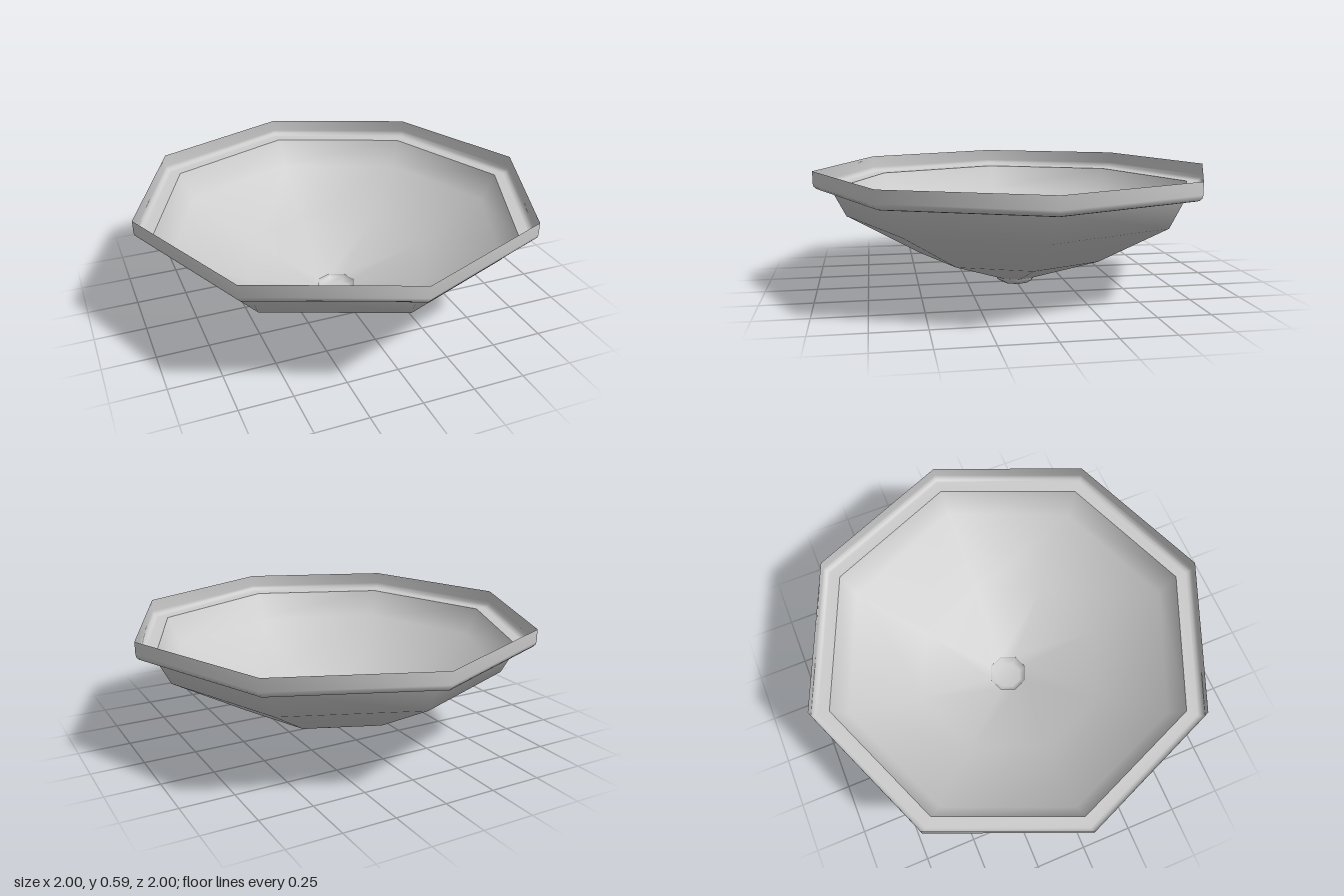
import * as THREE from 'three';

const SIDES = 8;

// Turns a [radius, height] profile into an eight-sided smooth shell.
function shell(name, profile, material) {
  const points = profile.map(([r, y]) => new THREE.Vector2(r, y));
  const mesh = new THREE.Mesh(new THREE.LatheGeometry(points, SIDES), material);
  mesh.name = name;
  return mesh;
}

export function createModel() {
  const group = new THREE.Group();
  group.name = 'basin';
  const material = new THREE.MeshStandardMaterial({ color: 0xcccccc, side: THREE.DoubleSide });

  // Shallow recessed drain at the very bottom
  group.add(shell('drain', [[0, 0], [0.07, 0], [0.095, 0.015], [0.1, 0.03]], material));

  // Bowl flaring out to the rim
  group.add(shell('bowl', [[0.1, 0.03], [0.485, 0.165], [0.845, 0.365], [0.915, 0.5]], material));

  // Rim: flat ledge, rounded corner and upright outer wall
  const rim = [[0.915, 0.5], [0.97, 0.5]];
  for (let i = 1; i <= 3; i++) {
    const a = (i / 3) * Math.PI / 2;
    rim.push([0.97 + 0.03 * Math.sin(a), 0.53 - 0.03 * Math.cos(a)]);
  }
  rim.push([1, 0.59]);
  group.add(shell('rim', rim, material));

  return group;
}
